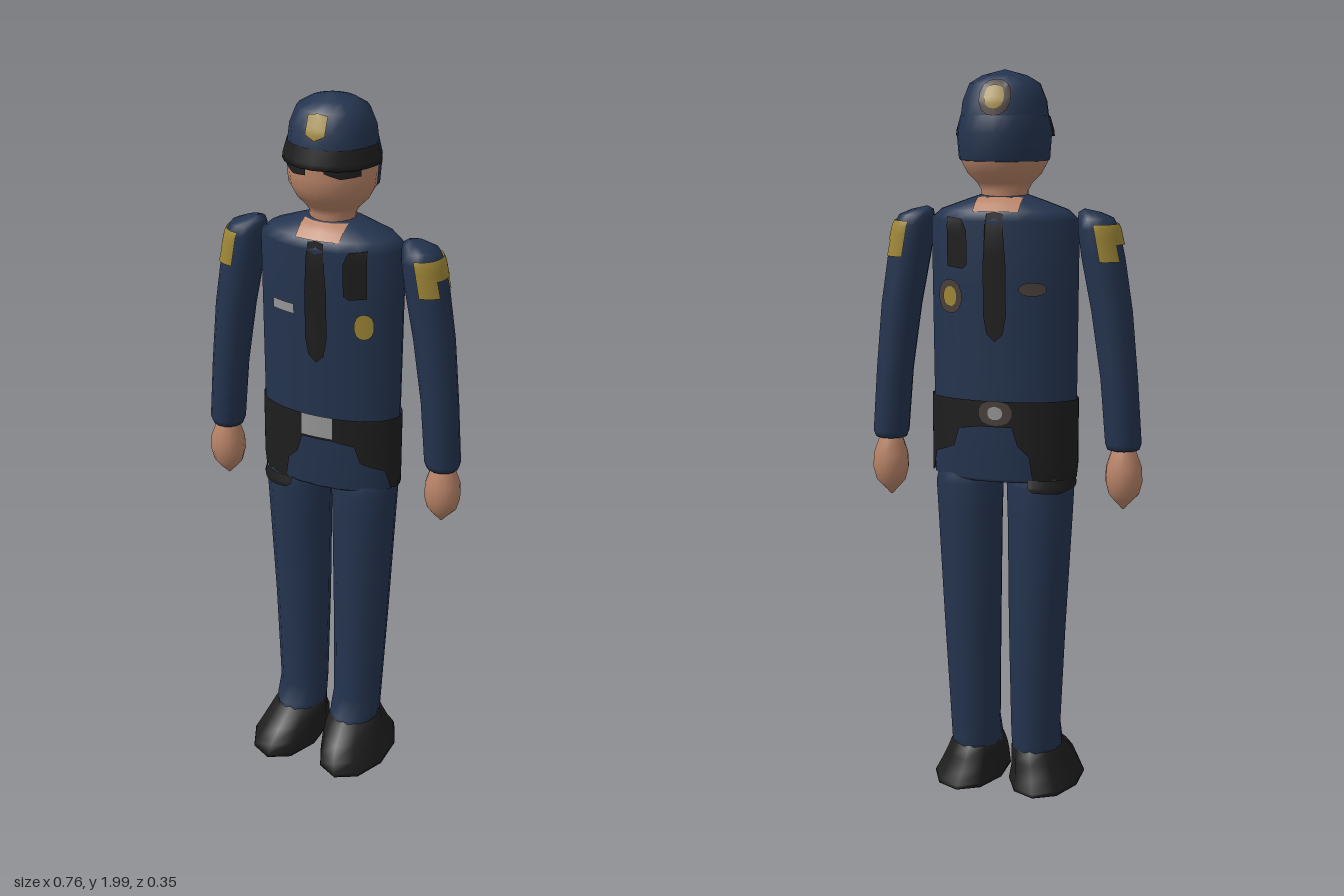
import * as THREE from 'three';

const mat = (name, color) => {
  const m = new THREE.MeshStandardMaterial({ color });
  m.name = name;
  return m;
};

export function createModel() {
  const navy = mat('navy cloth', 0x24344f), black = mat('black', 0x1e1e1e);
  const skin = mat('skin', 0xb98468), gold = mat('gold', 0xa08838);
  const silver = mat('silver', 0x989898), brown = mat('dull brown', 0x4a403c);
  black.side = navy.side = gold.side = THREE.DoubleSide;
  const model = new THREE.Group();
  model.name = 'officer';
  const TAU = Math.PI * 2;

  function addMesh(name, pos, idx, material) {
    const g = new THREE.BufferGeometry();
    g.setAttribute('position', new THREE.Float32BufferAttribute(pos, 3));
    g.setIndex(idx);
    g.computeVertexNormals();
    const mesh = new THREE.Mesh(g, material);
    mesh.name = name;
    model.add(mesh);
  }

  // Smooth skin over elliptical rings [y, centreX, centreZ, radiusX, radiusZ], bottom to top
  function loft(name, rings, material, n = 12, a0 = 0, a1 = TAU) {
    const full = a1 - a0 > TAU - 0.01, w = full ? n : n + 1, pos = [], idx = [];
    for (const [y, cx, cz, rx, rz] of rings)
      for (let i = 0; i < w; i++) {
        const a = a0 + (a1 - a0) * i / n;
        pos.push(cx + rx * Math.cos(a), y, cz + rz * Math.sin(a));
      }
    for (let r = 0; r < rings.length - 1; r++)
      for (let i = 0; i < n; i++) {
        const j = (i + 1) % w, a = r * w + i, b = r * w + j;
        idx.push(a, a + w, b, b, a + w, b + w);
      }
    addMesh(name, pos, idx, material);
  }

  // Ring of a loft at any height
  function ringAt(rings, y) {
    let k = 0;
    while (k < rings.length - 2 && rings[k + 1][0] < y) k++;
    const p = rings[k], q = rings[k + 1];
    const t = THREE.MathUtils.clamp((y - p[0]) / (q[0] - p[0]), 0, 1);
    return p.map((v, i) => v + (q[i] - v) * t);
  }

  // Thin patch lying on a loft: columns [x, lowY, highY], side 1 = front, -1 = back
  function patch(name, rings, cols, material, side = 1, lift = 0.004) {
    const pos = [], idx = [], sub = 4, rows = 6, w = rows + 1;
    const total = (cols.length - 1) * sub;
    for (let c = 0; c <= total; c++) {
      const k = Math.min(Math.floor(c / sub), cols.length - 2), t = c / sub - k;
      const [x, lo, hi] = cols[k].map((v, i) => v + (cols[k + 1][i] - v) * t);
      for (let r = 0; r <= rows; r++) {
        const y = lo + (hi - lo) * r / rows, [, cx, cz, rx, rz] = ringAt(rings, y);
        const u = THREE.MathUtils.clamp((x - cx) / (rx + lift), -1, 1);
        pos.push(cx + u * (rx + lift), y, cz + side * (rz + lift) * Math.sqrt(1 - u * u));
      }
    }
    for (let c = 0; c < total; c++)
      for (let r = 0; r < rows; r++) {
        const a = c * w + r, b = a + w;
        if (side > 0) idx.push(a, b, a + 1, b, b + 1, a + 1);
        else idx.push(a, a + 1, b, b, a + 1, b + 1);
      }
    addMesh(name, pos, idx, material);
  }
  const oval = (x, y, w, h) => [-1, -0.8, -0.4, 0, 0.4, 0.8, 1].map(u => {
    const k = h * (0.25 + 0.75 * Math.sqrt(1 - u * u));
    return [x + u * w, y - k, y + k];
  });
  const box = (x0, x1, y0, y1) => [[x0, y0, y1], [x1, y0, y1]];

  // Torso
  const Z = -0.05;
  const torso = [[0.915, 0, Z, 0.002, 0.002], [0.916, 0, Z, 0.19, 0.09], [0.925, 0, Z, 0.2, 0.098],
    [1.15, 0, Z, 0.2, 0.1], [1.45, 0, Z, 0.202, 0.106], [1.615, 0, Z, 0.203, 0.112],
    [1.64, 0, Z, 0.175, 0.102], [1.665, 0, Z, 0.105, 0.075], [1.68, 0, Z, 0.06, 0.05]];
  loft('torso', torso, navy, 20);

  // Uniform details, repeated on front and back
  const belt = [[-0.206, 0.922, 1.14], [-0.19, 0.922, 1.14], [-0.1, 0.922, 1.14], [-0.09, 0.99, 1.14],
    [-0.06, 1.02, 1.14], [-0.045, 1.07, 1.14], [0.045, 1.07, 1.14], [0.105, 1.06, 1.14],
    [0.12, 1.01, 1.14], [0.18, 0.985, 1.14], [0.192, 0.93, 1.14], [0.206, 0.922, 1.14]];
  const tie = [[-0.031, 1.37, 1.5], [-0.022, 1.32, 1.635], [0, 1.3, 1.64], [0.022, 1.32, 1.635], [0.031, 1.37, 1.5]];
  for (const s of [1, -1]) {
    patch('belt and holster', torso, belt, black, s);
    patch('tie', torso, tie, black, s);
    patch('chest pocket', torso, [[0.076, 1.5, 1.59], [0.09, 1.49, 1.62], [0.135, 1.495, 1.625]], black, s);
    patch('neck opening', torso, box(-0.062, 0.062, 1.64, 1.675), skin, s);
  }
  patch('buckle', torso, box(-0.046, 0.046, 1.078, 1.142), silver, 1, 0.007);
  patch('chest badge', torso, oval(0.128, 1.415, 0.024, 0.036), gold);
  patch('name bar', torso, box(-0.135, -0.065, 1.427, 1.455), silver);
  patch('back buckle rim', torso, oval(0, 1.108, 0.045, 0.034), brown, -1, 0.006);
  patch('back buckle', torso, oval(0, 1.108, 0.02, 0.018), silver, -1, 0.008);
  patch('back badge rim', torso, oval(0.128, 1.415, 0.035, 0.045), brown, -1);
  patch('back badge', torso, oval(0.128, 1.415, 0.02, 0.027), gold, -1, 0.007);
  patch('back bar', torso, oval(-0.1, 1.44, 0.035, 0.018), brown, -1);

  // Neck and head
  const head = [[1.62, 0, Z, 0.062, 0.058], [1.69, 0, Z, 0.063, 0.056], [1.71, 0, Z, 0.075, 0.066],
    [1.735, 0, Z, 0.1, 0.09], [1.765, 0, Z, 0.116, 0.106], [1.8, 0, Z, 0.12, 0.112], [1.86, 0, Z, 0.115, 0.11]];
  loft('neck and head', head, skin, 16);
  for (const s of [1, -1])
    patch('glasses lens', head, [[s * 0.065 - 0.04, 1.822, 1.85], [s * 0.065, 1.808, 1.85], [s * 0.065 + 0.04, 1.812, 1.85]], black);

  // Cap with front visor and back flap
  const cap = [[1.835, 0, Z, 0.124, 0.118], [1.88, 0, Z, 0.117, 0.113], [1.92, 0, Z, 0.112, 0.108],
    [1.965, 0, Z, 0.094, 0.088], [1.985, 0, Z, 0.06, 0.055], [2, 0, Z, 0.002, 0.002]];
  loft('cap', cap, navy, 16);
  loft('visor', [[1.83, 0, Z, 0.115, 0.108], [1.831, 0, Z, 0.131, 0.126], [1.845, 0, Z, 0.13, 0.124],
    [1.882, 0, Z, 0.119, 0.115]], black, 12, -0.1, Math.PI + 0.1);
  loft('cap back', [[1.768, 0, Z, 0.117, 0.107], [1.772, 0, Z, 0.122, 0.115], [1.84, 0, Z, 0.127, 0.125],
    [1.885, 0, Z, 0.117, 0.113]], navy, 12, Math.PI, TAU);
  patch('cap badge', cap, [[-0.027, 1.915, 1.962], [0, 1.902, 1.966], [0.027, 1.915, 1.962]], gold);
  patch('back cap badge rim', cap, oval(0, 1.93, 0.042, 0.046), brown, -1);
  patch('back cap badge', cap, oval(0, 1.932, 0.026, 0.03), gold, -1, 0.007);

  // Limbs, mirrored left and right
  const arm = [[1.005, 0.328, Z, 0.004, 0.004], [1.008, 0.328, Z, 0.044, 0.042], [1.025, 0.328, Z, 0.05, 0.05],
    [1.2, 0.314, Z, 0.051, 0.052], [1.38, 0.292, Z, 0.056, 0.056], [1.52, 0.267, Z, 0.059, 0.059],
    [1.595, 0.253, Z, 0.055, 0.06], [1.622, 0.246, Z, 0.048, 0.052], [1.636, 0.23, Z, 0.03, 0.034], [1.645, 0.217, Z, 0.003, 0.003]];
  const hand = [[0.842, 0.33, Z, 0.003, 0.003], [0.855, 0.33, Z, 0.014, 0.014], [0.865, 0.33, Z, 0.024, 0.024],
    [0.885, 0.331, Z, 0.042, 0.038], [0.92, 0.331, Z, 0.051, 0.047], [0.96, 0.331, Z, 0.049, 0.046],
    [1.0, 0.33, Z, 0.035, 0.034], [1.015, 0.33, Z, 0.03, 0.03]];
  const leg = [[0.125, 0.088, -0.025, 0.07, 0.092], [0.15, 0.088, -0.03, 0.071, 0.09], [0.2, 0.088, -0.045, 0.071, 0.073],
    [0.5, 0.093, -0.052, 0.081, 0.078], [0.8, 0.099, Z, 0.091, 0.083], [0.9, 0.1, Z, 0.095, 0.087],
    [0.93, 0.1, Z, 0.088, 0.08]];
  const shoe = [[0.008, 0.11, 0.01, 0.003, 0.003], [0.024, 0.11, 0, 0.104, 0.172], [0.035, 0.108, 0, 0.1, 0.171],
    [0.065, 0.102, 0.005, 0.09, 0.157], [0.1, 0.094, -0.005, 0.081, 0.132], [0.13, 0.089, -0.022, 0.073, 0.102],
    [0.142, 0.088, -0.025, 0.06, 0.085]];
  for (const s of [1, -1]) {
    const side = s > 0 ? 'left ' : 'right ';
    const mirror = rings => rings.map(([y, cx, ...rest]) => [y, s * cx, ...rest]);
    loft(side + 'sleeve', mirror(arm), navy, 14);
    loft(side + 'hand', mirror(hand), skin, 12);
    loft(side + 'trouser leg', mirror(leg), navy, 14);
    loft(side + 'shoe', mirror(shoe), black, 10, Math.PI / 2, Math.PI / 2 + TAU);
    // Shoulder emblem: a band round the outside with a tab at front and back
    const grow = y => {
      const r = ringAt(arm, y);
      return [y, r[1], Z, r[3] + 0.005, r[4] + 0.005];
    };
    const mid = s > 0 ? 0 : Math.PI;
    const band = (lo, from, to) => loft(side + 'shoulder emblem', mirror([lo, 1.575, 1.595, 1.608].map(grow)), gold, 12,
      mid + s * (s > 0 ? from : to), mid + s * (s > 0 ? to : from));
    band(1.555, -0.7, 0.7);
    band(1.512, 0.65, 1.55);
    band(1.512, -1.55, -0.65);
  }
  for (const s of [1, -1])
    patch('holster tip', leg.map(([y, cx, ...r]) => [y, -cx, ...r]),
      [[-0.2, 0.9, 0.925], [-0.17, 0.888, 0.925], [-0.1, 0.892, 0.925], [-0.085, 0.905, 0.925]], black, s, 0.006);
  return model;
}
